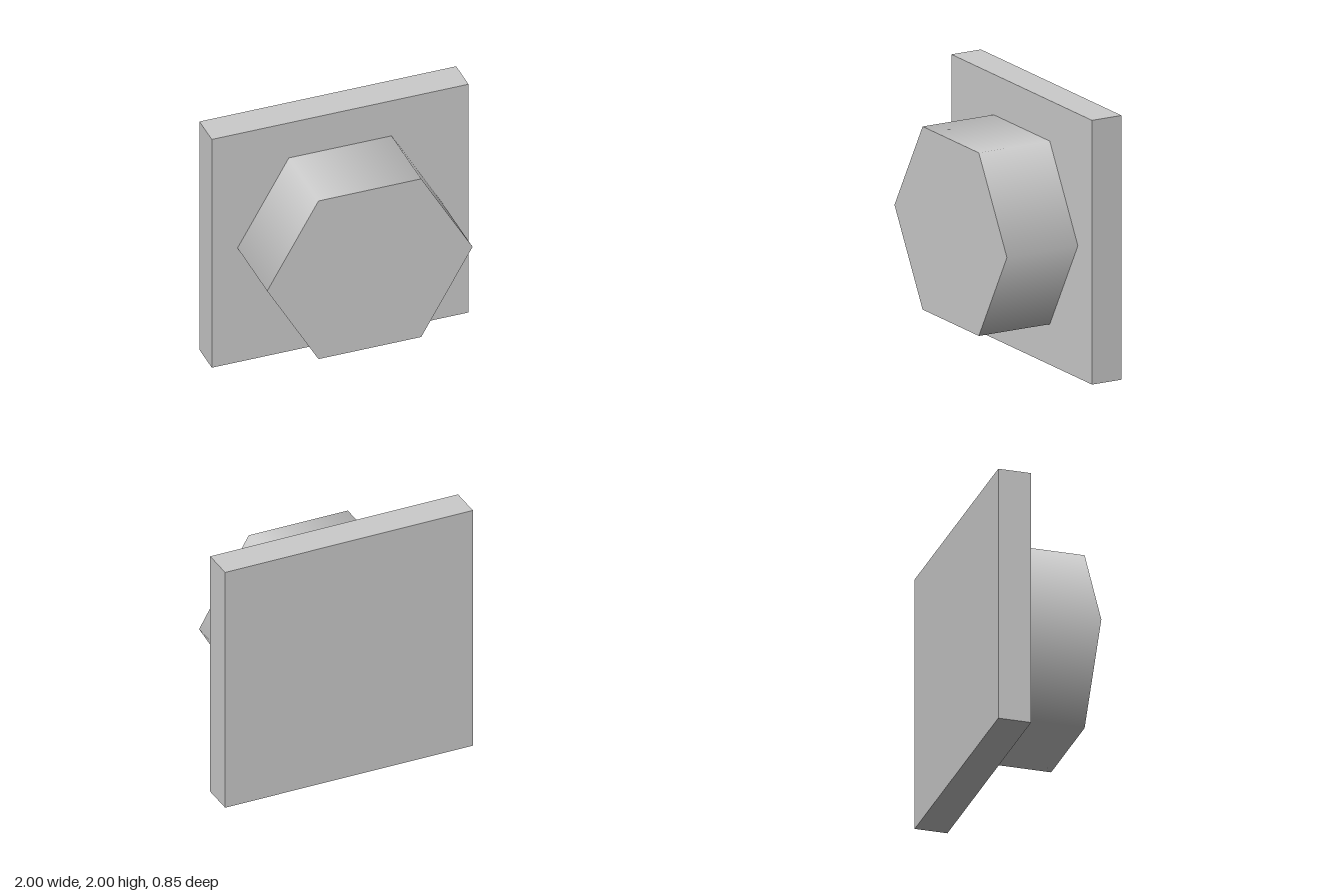
import * as THREE from 'three';

export function createModel() {
  const group = new THREE.Group();
  const material = new THREE.MeshStandardMaterial({ color: 0xcccccc });
  const plateDepth = 0.25;
  const bossDepth = 0.6;
  const back = -(plateDepth + bossDepth) / 2;

  // Square upright back plate
  const plate = new THREE.Mesh(new THREE.BoxGeometry(2, 2, plateDepth), material);
  plate.name = 'backPlate';
  plate.position.set(0, 1, back + plateDepth / 2);
  group.add(plate);

  // Six-sided boss with smooth side normals, corners pointing left and right
  const bossGeometry = new THREE.CylinderGeometry(0.8, 0.8, bossDepth, 6, 1, false, Math.PI / 2);
  bossGeometry.rotateX(Math.PI / 2);
  const boss = new THREE.Mesh(bossGeometry, material);
  boss.name = 'hexagonalBoss';
  boss.position.set(0, 1, back + plateDepth + bossDepth / 2);
  group.add(boss);

  return group;
}
